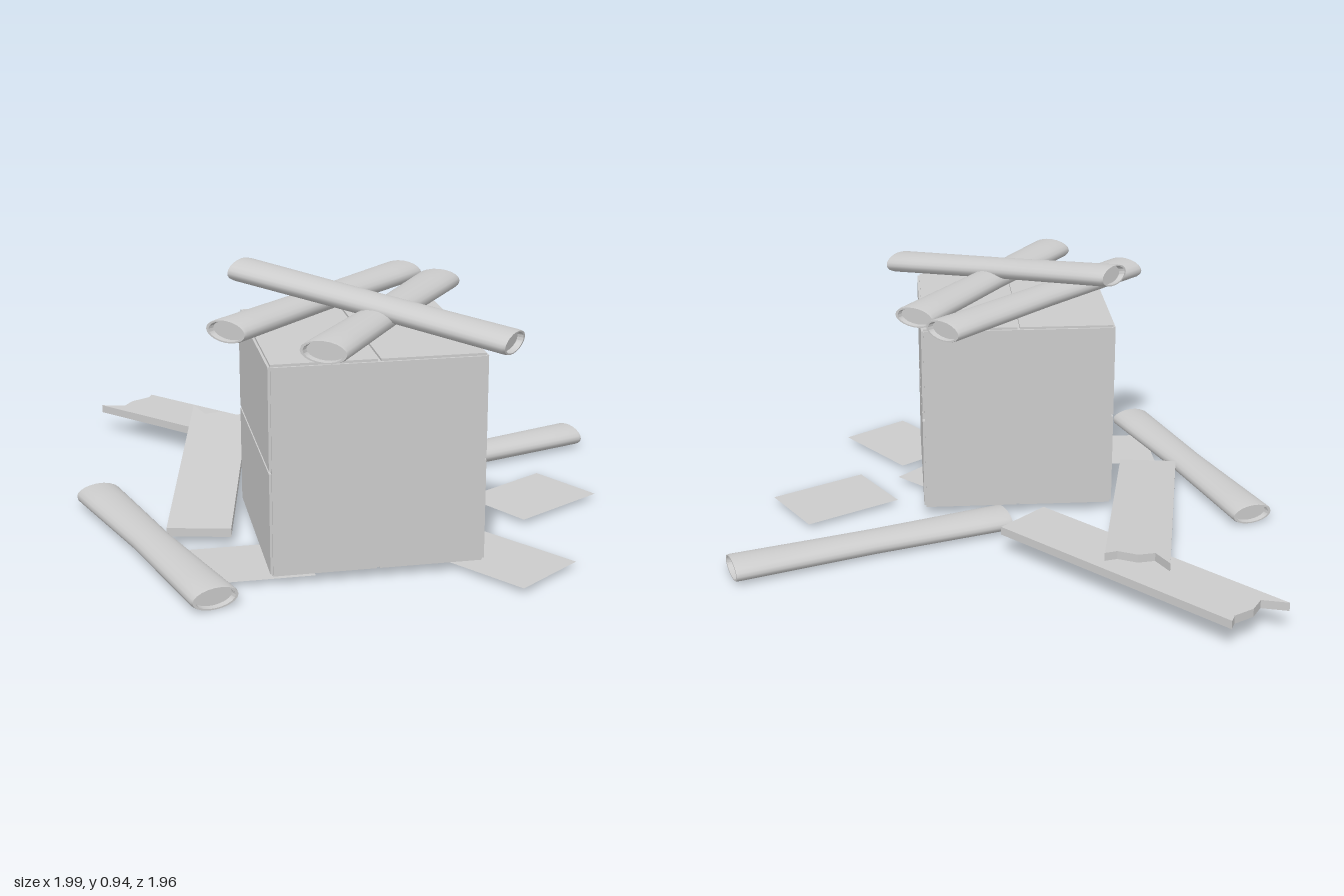
import * as THREE from 'three';
import { toCreasedNormals } from 'three/addons/utils/BufferGeometryUtils.js';

const material = new THREE.MeshStandardMaterial({ color: 0xcccccc });
const thinMaterial = new THREE.MeshStandardMaterial({ color: 0xcccccc, side: THREE.DoubleSide });

// Flattened roll with recessed ends, slightly pinched in the middle
function makeRollGeometry(length) {
  const h = length / 2, w = 0.081, half = 0.0375;
  const profile = [[0, -h + 0.02], [0.8, -h + 0.02], [0.84, -h], [0.96, -h], [1, -h + 0.012]];
  for (let i = -3; i <= 3; i++) profile.push([1, i * h / 4]);
  profile.push([1, h - 0.012], [0.96, h], [0.84, h], [0.8, h - 0.02], [0, h - 0.02]);
  const geo = new THREE.LatheGeometry(profile.map(([r, y]) => new THREE.Vector2(r, y)), 20);
  const p = geo.attributes.position;
  for (let i = 0; i < p.count; i++) {
    const t = Math.abs(p.getY(i)) / h;
    p.setX(i, p.getX(i) * w * (0.84 + 0.16 * t));
    p.setZ(i, p.getZ(i) * half);
  }
  return toCreasedNormals(geo, 0.7);
}

function makeRoll(name, from, to) {
  const a = new THREE.Vector3(...from), b = new THREE.Vector3(...to);
  const dir = b.clone().sub(a);
  const mesh = new THREE.Mesh(makeRollGeometry(dir.length()), material);
  dir.normalize();
  const side = dir.clone().cross(new THREE.Vector3(0, 1, 0)).normalize();
  const up = side.clone().cross(dir);
  mesh.quaternion.setFromRotationMatrix(new THREE.Matrix4().makeBasis(side, dir, up));
  mesh.position.copy(a).add(b).multiplyScalar(0.5);
  mesh.name = name;
  return mesh;
}

// Plan outline given as [x, z]
function outline(points) {
  return new THREE.Shape(points.map(([x, z]) => new THREE.Vector2(x, -z)));
}

// Torn strip: extruded plan outline; its base height follows a slope along z
function makeStrip(name, points, baseY, slope = 0) {
  const geo = new THREE.ExtrudeGeometry(outline(points), { depth: 0.03, bevelEnabled: false });
  geo.rotateX(-Math.PI / 2);
  const p = geo.attributes.position;
  for (let i = 0; i < p.count; i++) p.setY(i, p.getY(i) + baseY + slope * p.getZ(i));
  geo.computeVertexNormals();
  const mesh = new THREE.Mesh(geo, material);
  mesh.name = name;
  return mesh;
}

// Flat rectangular sheet on the floor, 'angle' turned about y
function makeSheet(name, x, z, angle) {
  const geo = new THREE.PlaneGeometry(0.38, 0.285).rotateX(-Math.PI / 2);
  const mesh = new THREE.Mesh(geo, thinMaterial);
  mesh.position.set(x, 0.018, z);
  mesh.rotation.y = angle;
  mesh.name = name;
  return mesh;
}

// Carton: core with panels, some split into two flaps by a narrow seam
function makeCarton() {
  const carton = new THREE.Group();
  carton.name = 'carton';
  const size = 0.704, t = 0.008, seam = 0.01;
  const add = (name, w, h, d, x, y, z) => {
    const mesh = new THREE.Mesh(new THREE.BoxGeometry(w, h, d), material);
    mesh.position.set(x, y, z);
    mesh.name = name;
    carton.add(mesh);
  };
  const inner = size - 2 * t, flap = (inner - seam) / 2, shift = (flap + seam) / 2;
  const off = size / 2 - t / 2;
  add('core', inner, inner, inner, 0, 0, 0);
  for (const s of [-1, 1]) {
    add(s > 0 ? 'frontPanel' : 'backPanel', inner, inner, t, 0, 0, s * off);
    for (const f of [-1, 1]) {
      add('sideFlap', t, flap, inner, s * off, f * shift, 0);
      add(s > 0 ? 'topFlap' : 'bottomFlap', flap, t, inner, f * shift, s * off, 0);
    }
  }
  carton.position.set(-0.057, 0.385, 0.423);
  return carton;
}

export function createModel() {
  const model = new THREE.Group();
  model.name = 'cartonWithRolls';
  model.add(makeCarton());

  // Rolls on the carton and on the floor
  const rolls = [
    ['topRollBack', [-0.515, 0.8, 0.59], [0.225, 0.8, -0.13]],
    ['topRollFront', [-0.255, 0.8, 0.88], [0.32, 0.8, 0.025]],
    ['leaningRoll', [-0.41, 0.9, 0.155], [0.365, 0.777, 0.81]],
    ['floorRollRight', [-0.917, 0.0375, -0.075], [-0.6, 0.0375, 0.905]],
    ['floorRollLeft', [0.0, 0.0375, -0.035], [0.973, 0.0375, -0.373]],
  ];
  for (const r of rolls) model.add(makeRoll(...r));

  // Torn strips behind, one resting on the other
  model.add(makeStrip('lowerStrip', [
    [-0.86, -0.88], [-0.135, -0.11], [0.03, -0.265], [-0.65, -0.983],
    [-0.665, -0.95], [-0.735, -0.91], [-0.77, -0.855],
  ], 0.08));
  model.add(makeStrip('upperStrip', [
    [-0.505, -0.67], [-0.705, 0.37], [-0.49, 0.41], [-0.3, -0.56],
    [-0.345, -0.547], [-0.41, -0.585], [-0.47, -0.575],
  ], 0.066, -0.089));

  // Loose sheets on the floor
  model.add(makeSheet('sheetLeft', 0.63, 0.21, 0.525));
  model.add(makeSheet('sheetFrontLeft', 0.37, 0.74, -0.94));
  model.add(makeSheet('sheetUnderCarton', 0.155, 0.36, -Math.PI / 4));
  model.add(makeSheet('sheetRight', -0.45, 0.608, 0));
  return model;
}
